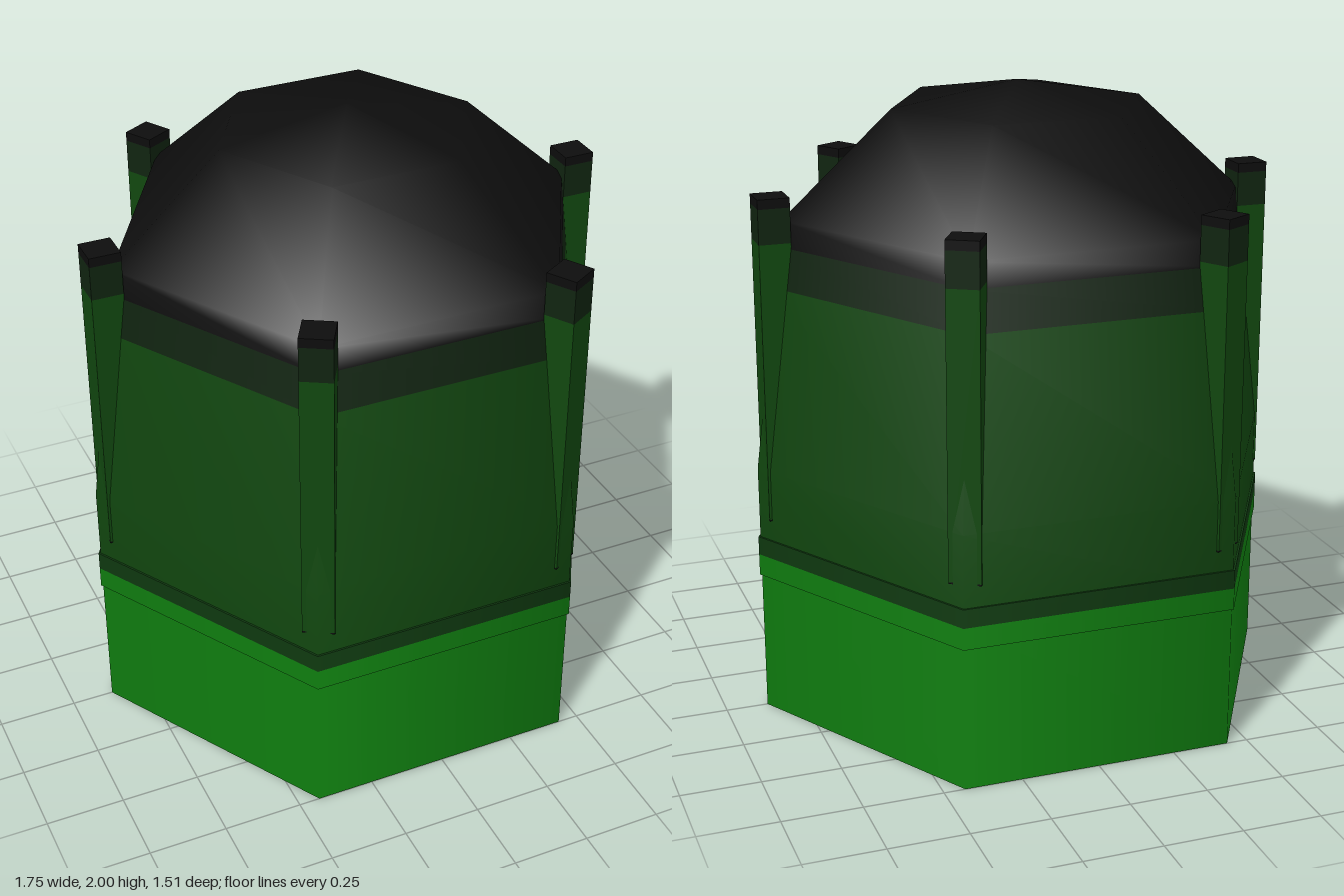
import * as THREE from 'three';

const material = (name, color, side = THREE.FrontSide) => {
  const m = new THREE.MeshStandardMaterial({ color, side });
  m.name = name;
  return m;
};

export function createModel() {
  const group = new THREE.Group();
  const D = THREE.DoubleSide;
  const brightGreen = material('brightGreen', 0x108010, D);
  const bodyGreen = material('bodyGreen', 0x11470f, D);
  const ringGreen = material('ringGreen', 0x0f3a10, D);
  const darkGreen = material('darkGreen', 0x102410, D);
  const black = material('black', 0x0d0d0d, D);

  // Open six-sided shell with smooth sides, corners on the x axis
  const shell = (name, mat, profile) => {
    const points = profile.map(([r, y]) => new THREE.Vector2(r, y));
    const mesh = new THREE.Mesh(new THREE.LatheGeometry(points, 6, Math.PI / 2), mat);
    mesh.name = name;
    group.add(mesh);
  };

  // Hollow body, open at the bottom
  shell('baseSkirt', brightGreen, [[0.866, 0], [0.866, 0.53]]);
  shell('body', bodyGreen, [[0.866, 0.53], [0.866, 0.82], [0.792, 1.4]]);
  shell('upperBand', darkGreen, [[0.792, 1.4], [0.775, 1.53]]);
  shell('domeCap', black, [[0.775, 1.53], [0.763, 1.61], [0.41, 1.93], [0, 2]]);

  // Slightly raised ring around the joint
  shell('ringLower', brightGreen, [[0.873, 0.46], [0.873, 0.53]]);
  shell('ringUpper', ringGreen, [[0.873, 0.53], [0.873, 0.59]]);
  shell('ringBottomLip', brightGreen, [[0.866, 0.46], [0.873, 0.46]]);
  shell('ringTopLip', ringGreen, [[0.873, 0.59], [0.866, 0.59]]);

  // A post at each corner, in stacked colour sections
  const sections = [
    ['postFoot', black, 0.657, 0.662],
    ['postShaft', bodyGreen, 0.662, 1.55],
    ['postBand', darkGreen, 1.55, 1.66],
    ['postCap', black, 1.66, 1.69],
  ];
  for (let i = 0; i < 6; i++) {
    const post = new THREE.Group();
    post.name = 'cornerPost';
    for (const [name, mat, y0, y1] of sections) {
      const mesh = new THREE.Mesh(new THREE.BoxGeometry(0.1, y1 - y0, 0.1), mat);
      mesh.name = name;
      mesh.position.set(0.795, (y0 + y1) / 2, 0);
      post.add(mesh);
    }
    post.rotation.y = (i * Math.PI) / 3;
    group.add(post);
  }
  return group;
}
